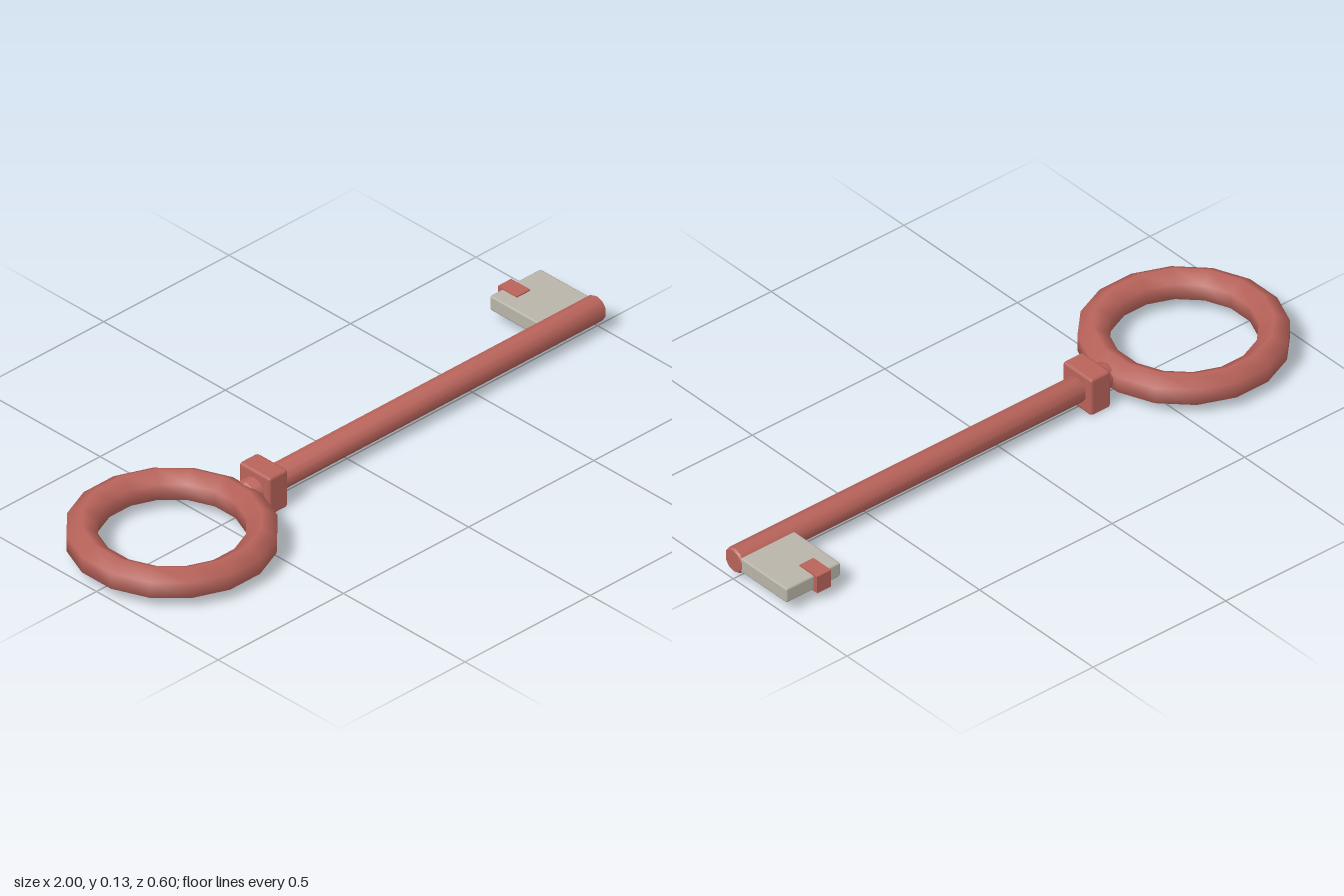
import * as THREE from 'three';
import { mergeVertices, toCreasedNormals } from 'three/addons/utils/BufferGeometryUtils.js';
import { RoundedBoxGeometry } from 'three/addons/geometries/RoundedBoxGeometry.js';

const AXIS_Y = 0.066; // height of the key's centre line

export function createModel() {
  const key = new THREE.Group();
  key.name = 'key';

  const red = new THREE.MeshStandardMaterial({ color: 0xb8635a });
  red.name = 'dull red';
  const grey = new THREE.MeshStandardMaterial({ color: 0xb8b4a8 });
  grey.name = 'warm grey';

  const add = (name, geometry, material, x, y, z) => {
    const mesh = new THREE.Mesh(geometry, material);
    mesh.name = name;
    mesh.position.set(x, y, z);
    key.add(mesh);
  };

  // Ring handle: hexagonal section swept around 16 sides, flats on the axes
  const section = [];
  for (let i = 0; i <= 6; i++) {
    const a = Math.PI / 6 + (i * Math.PI) / 3;
    section.push(new THREE.Vector2(0.262 + 0.052 * Math.cos(a), 0.052 * Math.sin(a)));
  }
  let ring = new THREE.LatheGeometry(section, 16, Math.PI / 16);
  ring.deleteAttribute('uv');
  ring.deleteAttribute('normal');
  ring = mergeVertices(ring, 1e-4);
  ring.computeVertexNormals();
  add('ringHandle', ring, red, -0.699, AXIS_Y, 0);

  // Shaft: ten-sided rod with bevelled ends, laid along x
  const profile = [[0, -0.425], [0.024, -0.425], [0.041, -0.405], [0.041, 0.994], [0.035, 1], [0, 1]];
  const rod = new THREE.LatheGeometry(profile.map(([r, h]) => new THREE.Vector2(r, h)), 10, Math.PI / 2);
  rod.rotateZ(-Math.PI / 2);
  add('shaft', toCreasedNormals(rod, 0.68), red, 0, AXIS_Y, 0);

  // Collar between handle and shaft
  add('collar', new RoundedBoxGeometry(0.075, 0.127, 0.127, 1, 0.009), red, -0.333, AXIS_Y, 0);

  // Bit plate and the small band wrapping its outer edge
  add('bit', new RoundedBoxGeometry(0.204, 0.049, 0.206, 1, 0.006), grey, 0.896, AXIS_Y, -0.129);
  add('bitBand', new THREE.BoxGeometry(0.053, 0.058, 0.078), red, 0.869, AXIS_Y, -0.208);

  return key;
}
